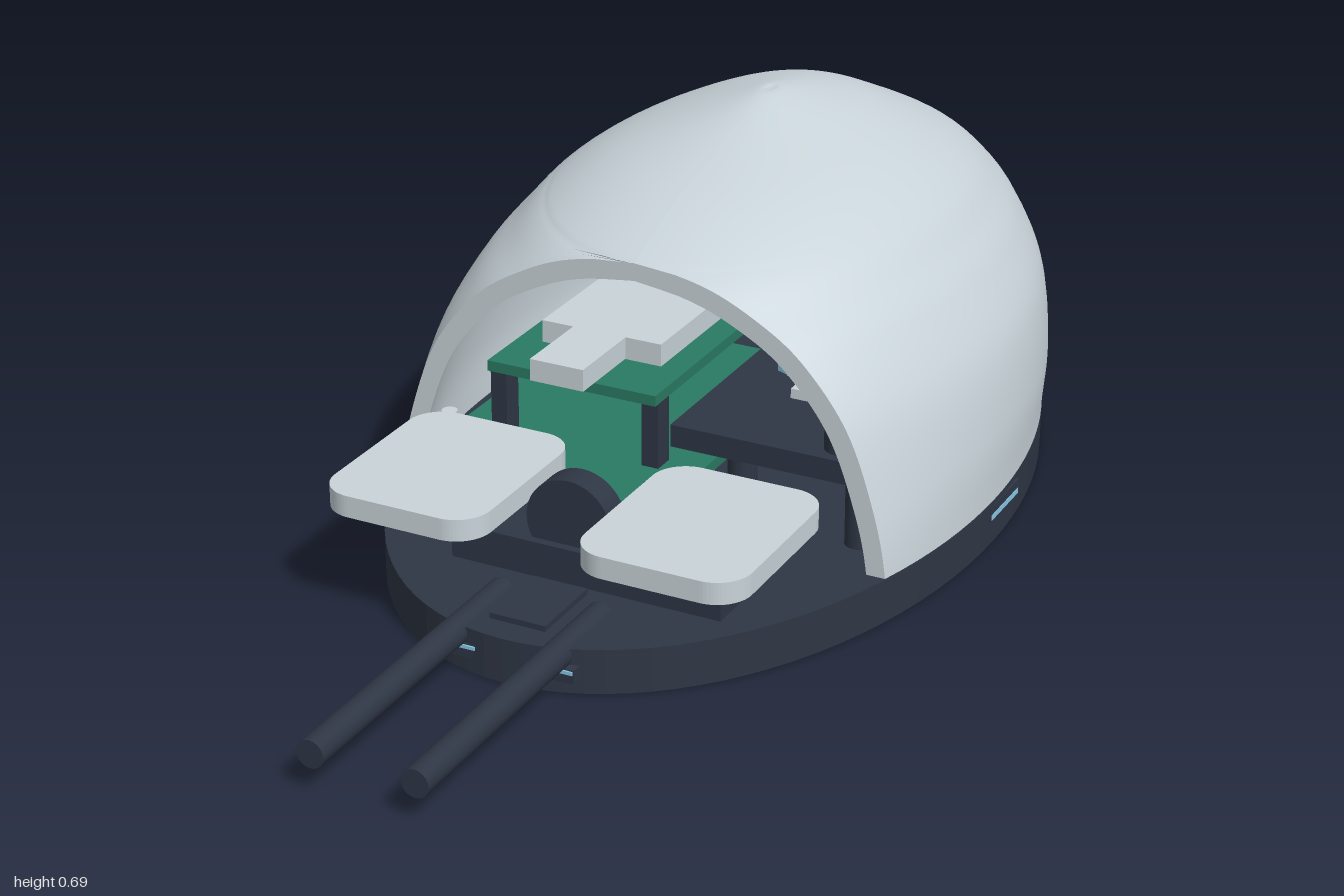
import * as THREE from 'three';

const mat = (name, color, extra = {}) => {
  const m = new THREE.MeshStandardMaterial({ color, ...extra });
  m.name = name;
  return m;
};
const CUT = 0.14; // plane where the shell is cut open

// Level rows: height, half width, centre z, half length
const LEVELS = [
  [0.08, 0.505, -0.205, 0.795], [0.2, 0.503, -0.25, 0.75], [0.33, 0.48, -0.285, 0.695],
  [0.43, 0.43, -0.308, 0.627], [0.49, 0.385, -0.325, 0.56], [0.545, 0.335, -0.335, 0.475],
  [0.6, 0.25, -0.35, 0.35], [0.65, 0.135, -0.385, 0.195], [0.684, 0.03, -0.37, 0.05], [0.686, 0, -0.37, 0],
];

// Stacked ellipses, each clipped at the cut plane; also returns the arch outline
function domeSurface(sx, sy, sz) {
  const size = new THREE.CatmullRomCurve3(LEVELS.map(([y, rx, , rz]) => new THREE.Vector3(rx, y, rz)), false, 'catmullrom', 0.5);
  const mid = new THREE.SplineCurve(LEVELS.map(([y, , c]) => new THREE.Vector2(y, c)));
  const rows = 90, cols = 72, pos = [], idx = [], arch = [];
  for (let i = 0; i <= rows; i++) {
    const t = i / rows, p = size.getPoint(t), c = mid.getPoint(t).y;
    const rx = Math.max(p.x * sx, 0), rz = Math.max(p.z * sz, 0.0001);
    const y = 0.08 + (p.y - 0.08) * sy;
    const k = (c - CUT) / rz;
    const limit = Math.acos(Math.max(-1, k));
    if (k > -1) arch.push(new THREE.Vector2(rx * Math.sin(limit), y));
    for (let j = 0; j <= cols; j++) {
      const a = limit * (2 * j / cols - 1);
      pos.push(rx * Math.sin(a), y, c - rz * Math.cos(a));
      if (i < rows && j < cols) {
        const n = i * (cols + 1) + j, u = n + cols + 1;
        idx.push(n, u, n + 1, n + 1, u, u + 1);
      }
    }
  }
  const geo = new THREE.BufferGeometry();
  geo.setAttribute('position', new THREE.Float32BufferAttribute(pos, 3));
  geo.setIndex(idx);
  geo.computeVertexNormals();
  return { geo, arch };
}

function roundedPlate(w, d, h, r) {
  const s = new THREE.Shape(), x = w / 2, y = d / 2;
  s.moveTo(-x + r, -y).lineTo(x - r, -y).absarc(x - r, -y + r, r, -Math.PI / 2, 0, false);
  s.lineTo(x, y - r).absarc(x - r, y - r, r, 0, Math.PI / 2, false);
  s.lineTo(-x + r, y).absarc(-x + r, y - r, r, Math.PI / 2, Math.PI, false);
  s.lineTo(-x, -y + r).absarc(-x + r, -y + r, r, Math.PI, Math.PI * 1.5, false);
  return new THREE.ExtrudeGeometry(s, { depth: h, bevelEnabled: false, curveSegments: 8 }).rotateX(-Math.PI / 2);
}

export function createModel() {
  const model = new THREE.Group();
  model.name = 'cutawayMouse';
  const light = mat('paleGrey', 0xc8d3d9);
  const shellMat = mat('shellGrey', 0xc8d3d9, { side: THREE.DoubleSide });
  const dark = mat('darkSlate', 0x2e3644);
  const green = mat('boardGreen', 0x2a7a62);
  const blue = mat('castleBlue', 0x87c7e4);
  const slate = mat('blueShade', 0x5f9fbc);

  const add = (name, geo, m, x = 0, y = 0, z = 0, parent = model) => {
    const mesh = new THREE.Mesh(geo, m);
    mesh.name = name;
    mesh.position.set(x, y, z);
    parent.add(mesh);
    return mesh;
  };
  // Box given by its limits
  const box = (name, m, x0, x1, y0, y1, z0, z1, parent) =>
    add(name, new THREE.BoxGeometry(x1 - x0, y1 - y0, z1 - z0), m, (x0 + x1) / 2, (y0 + y1) / 2, (z0 + z1) / 2, parent);
  const post = (name, m, r, x, y0, y1, z, parent) =>
    add(name, new THREE.CylinderGeometry(r, r, y1 - y0, 24), m, x, (y0 + y1) / 2, z, parent);

  // Oval base with a square sensor opening underneath
  const oval = new THREE.Shape().absellipse(0, 0.205, 0.505, 0.795, 0, Math.PI * 2);
  const hole = new THREE.Path();
  hole.moveTo(-0.1, 0.05).lineTo(-0.1, 0.25).lineTo(0.1, 0.25).lineTo(0.1, 0.05).closePath();
  oval.holes.push(hole);
  add('base', new THREE.ExtrudeGeometry(oval, { depth: 0.078, bevelEnabled: false, curveSegments: 48 }).rotateX(-Math.PI / 2), dark);
  box('sensorPlate', dark, -0.1, 0.1, 0.04, 0.078, -0.25, -0.05);
  for (const x of [-0.23, 0.23]) for (const z of [0.1, -0.6])
    box('footPad', slate, x - 0.012, x + 0.012, -0.001, 0.002, z - 0.03, z + 0.03);

  // Shell: outer skin, inner skin and cut rim
  const outer = domeSurface(1, 1, 1), inner = domeSurface(0.935, 0.945, 0.965);
  add('shellOuter', outer.geo, shellMat);
  add('shellInner', inner.geo, shellMat);
  const half = (a, top) => [...a, new THREE.Vector2(0, top)];
  const full = (a) => [...a, ...a.slice(0, -1).reverse().map((p) => new THREE.Vector2(-p.x, p.y))];
  const rim = new THREE.Shape([...full(half(outer.arch, 0.546)), ...full(half(inner.arch, 0.515)).reverse()]);
  add('shellRim', new THREE.ShapeGeometry(rim), shellMat, 0, 0, CUT);

  // Paired parts: buttons, cables, screw posts, side slots and clips
  const button = roundedPlate(0.29, 0.35, 0.038, 0.06);
  const cable = new THREE.CylinderGeometry(0.024, 0.024, 0.57, 20).rotateX(Math.PI / 2);
  for (const s of [-1, 1]) {
    add('button', button, light, s * 0.23, 0.19, 0.355);
    add('cable', cable, dark, s * 0.09, 0.065, 0.715);
    box('cableBlock', dark, s * 0.0875 - 0.0375, s * 0.0875 + 0.0375, 0.025, 0.05, 0.5, 0.585);
    box('frontLight', blue, s * 0.0875 - 0.036, s * 0.0875 + 0.036, 0.042, 0.048, 0.582, 0.588);
    post('screwPost', dark, 0.018, s * 0.405, 0.078, 0.13, 0.06);
    post('screwCap', light, 0.014, s * 0.405, 0.13, 0.165, 0.06);
    box('sideSlot', dark, s * 0.5 - 0.006, s * 0.5 + 0.006, 0.042, 0.07, -0.32, -0.19);
    box('sideLight', blue, s * 0.504 - 0.003, s * 0.504 + 0.003, 0.045, 0.055, -0.315, -0.195);
    box('rearClip', dark, s * 0.318 - 0.018, s * 0.318 + 0.018, 0.06, 0.13, -0.84, -0.805);
  }

  // Front block and wheel
  box('frontBlock', dark, -0.21, 0.28, 0.078, 0.14, 0.11, 0.385);
  add('wheel', new THREE.CylinderGeometry(0.077, 0.077, 0.05, 40).rotateX(Math.PI / 2), dark, 0, 0.178, 0.345);
  box('cableTray', dark, -0.05, 0.05, 0.078, 0.088, 0.4, 0.54);

  // Two circuit boards on posts, with a connector on top
  box('lowerBoard', green, -0.355, 0.1, 0.155, 0.175, -0.4, 0.25);
  box('upperBoard', green, -0.285, 0.033, 0.293, 0.312, -0.4, 0.13);
  for (const z of [-0.36, 0.1]) {
    post('lowerPost', dark, 0.037, -0.318, 0.078, 0.155, z);
    box('upperPostOuter', dark, -0.285, -0.255, 0.175, 0.293, z - 0.02, z + 0.02);
    box('upperPostInner', dark, 0.002, 0.033, 0.175, 0.293, z - 0.02, z + 0.02);
  }
  box('chip', light, -0.24, -0.013, 0.312, 0.352, -0.3, 0.02);
  box('connector', light, -0.18, -0.08, 0.313, 0.352, 0.02, 0.17);
  post('boardScrew', dark, 0.017, 0.06, 0.175, 0.184, 0.19);

  // Raised deck carrying the castle
  box('deck', dark, 0.035, 0.4, 0.2, 0.24, -0.5, 0.08);
  for (const z of [-0.4, 0.04]) {
    post('deckPostInner', dark, 0.025, 0.15, 0.078, 0.2, z);
    post('deckPostOuter', dark, 0.025, 0.365, 0.078, 0.2, z);
  }
  post('lampFoot', dark, 0.032, 0.328, 0.24, 0.28, 0.03);
  post('lampStem', light, 0.016, 0.328, 0.28, 0.33, 0.03);
  box('lampTop', light, 0.25, 0.36, 0.33, 0.347, -0.03, 0.07);

  // Castle: faceted towers with pointed roofs and a coursed wall
  const castle = new THREE.Group();
  castle.name = 'castle';
  model.add(castle);
  const tower = (x, z, r, top, tip) => {
    const body = new THREE.CylinderGeometry(r, r, top - 0.24, 8).toNonIndexed();
    const roof = new THREE.ConeGeometry(r * 1.2, tip - top, 8).toNonIndexed();
    for (const g of [body, roof]) g.computeVertexNormals();
    add('tower', body, blue, x, (top + 0.24) / 2, z, castle);
    add('towerRoof', roof, blue, x, (top + tip) / 2, z, castle);
    box('towerWindow', light, x + 0.002, x + 0.022, top - 0.08, top - 0.045, z + r * 0.92, z + r + 0.004, castle);
  };
  tower(0.205, -0.2, 0.062, 0.43, 0.54);
  tower(0.122, -0.22, 0.03, 0.315, 0.42);
  tower(0.315, -0.24, 0.035, 0.355, 0.44);
  box('castleWall', blue, 0.195, 0.335, 0.24, 0.34, -0.25, -0.12, castle);
  for (let i = 1; i < 5; i++)
    box('wallCourse', slate, 0.195, 0.335, 0.24 + i * 0.02, 0.242 + i * 0.02, -0.122, -0.118, castle);

  return model;
}
